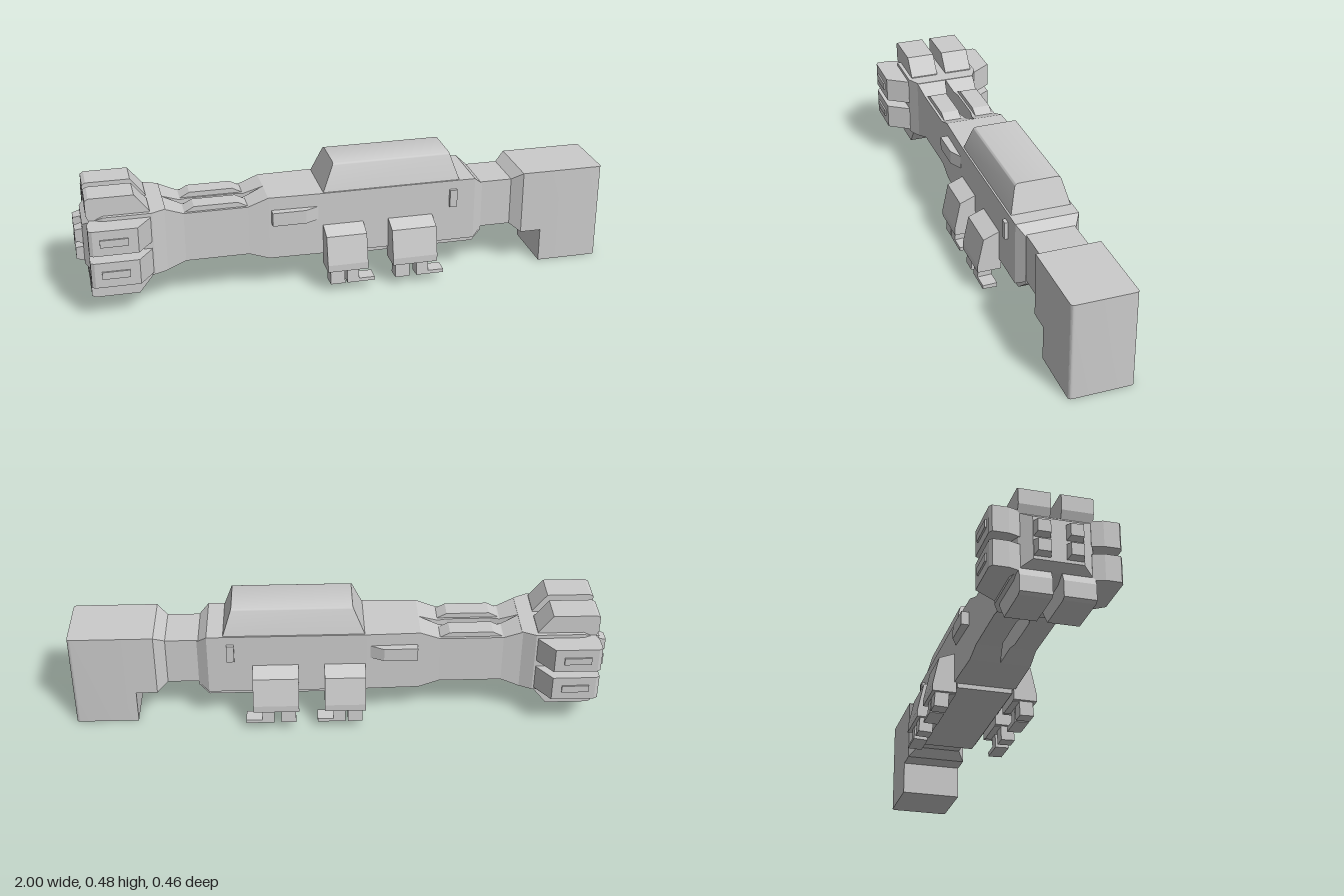
import * as THREE from 'three';
import { toCreasedNormals } from 'three/addons/utils/BufferGeometryUtils.js';

const material = new THREE.MeshStandardMaterial({ color: 0xcccccc });

// Box-like hull along x; each section is [x, y0, y1, z0, z1], x ascending
function loft(sections) {
  const pos = [], idx = [];
  for (const [x, y0, y1, za, zb] of sections) {
    const z0 = Math.min(za, zb), z1 = Math.max(za, zb);
    pos.push(x, y0, z0, x, y1, z0, x, y1, z1, x, y0, z1);
  }
  const n = (sections.length - 1) * 4;
  for (let i = 0; i < n; i += 4) {
    for (let k = 0; k < 4; k++) {
      const a = i + k, c = i + (k + 1) % 4;
      idx.push(a, c, a + 4, c, c + 4, a + 4);
    }
  }
  idx.push(0, 2, 1, 0, 3, 2, n, n + 1, n + 2, n, n + 2, n + 3);
  const g = new THREE.BufferGeometry();
  g.setAttribute('position', new THREE.Float32BufferAttribute(pos, 3));
  g.setIndex(idx);
  const flat = g.toNonIndexed();
  flat.computeVertexNormals();
  return flat;
}

// Extrudes a (z, y) outline between x0 and x1
function extrudeX(shape, x0, x1) {
  const g = new THREE.ExtrudeGeometry(shape, { depth: x1 - x0, bevelEnabled: false, curveSegments: 6 });
  return g.rotateY(-Math.PI / 2).translate(x1, 0, 0);
}

const polygon = pts => new THREE.Shape(pts.map(p => new THREE.Vector2(...p)));

export function createModel() {
  const ship = new THREE.Group();
  ship.name = 'spaceship';
  const add = (name, geometry) => {
    const mesh = new THREE.Mesh(geometry, material);
    mesh.name = name;
    ship.add(mesh);
  };
  const box = (name, x0, x1, y0, y1, z0, z1) =>
    add(name, loft([[x0, y0, y1, z0, z1], [x1, y0, y1, z0, z1]]));

  // Bow block with rounded leading edges, and its shallow rear part
  const r = 0.014, w = 0.118;
  const bow = new THREE.Shape();
  bow.moveTo(0.765, -w);
  bow.lineTo(1 - r, -w);
  bow.quadraticCurveTo(1, -w, 1, r - w);
  bow.lineTo(1, w - r);
  bow.quadraticCurveTo(1, w, 1 - r, w);
  bow.lineTo(0.765, w);
  const bowGeometry = new THREE.ExtrudeGeometry(bow, { depth: 0.374, bevelEnabled: false, curveSegments: 5 });
  add('bowBlock', toCreasedNormals(bowGeometry.rotateX(-Math.PI / 2), 0.6));
  box('bowRear', 0.685, 0.765, 0.13, 0.374, -w, w);

  // Neck, flaring into the bow
  add('neck', loft([
    [0.52, 0.16, 0.345, -0.09, 0.09], [0.645, 0.16, 0.345, -0.09, 0.09], [0.685, 0.13, 0.374, -w, w],
  ]));

  // Main hull, chamfered at the neck, with a keel plate
  add('mainHull', loft([
    [-0.3, 0.13, 0.374, -0.113, 0.113], [-0.1, 0.13, 0.374, -w, w],
    [0.49, 0.13, 0.374, -w, w], [0.528, 0.155, 0.34, -0.092, 0.092],
  ]));
  add('keel', loft([
    [-0.09, 0.112, 0.14, -0.105, 0.105], [0.49, 0.112, 0.14, -0.105, 0.105], [0.528, 0.145, 0.16, -0.09, 0.09],
  ]));

  // Cabin: rounded outline with both ends leaning inwards
  const cabin = new THREE.Shape();
  cabin.moveTo(-0.112, 0.372);
  cabin.lineTo(0.112, 0.372);
  cabin.lineTo(0.088, 0.464);
  cabin.quadraticCurveTo(0.085, 0.477, 0.07, 0.477);
  cabin.lineTo(-0.07, 0.477);
  cabin.quadraticCurveTo(-0.085, 0.477, -0.088, 0.464);
  const cabinGeometry = extrudeX(cabin, 0, 1);
  const p = cabinGeometry.attributes.position;
  for (let i = 0; i < p.count; i++) {
    const t = (p.getY(i) - 0.372) / 0.105;
    p.setX(i, p.getX(i) < 0.5 ? -0.095 + 0.045 * t : 0.43 - 0.035 * t);
  }
  cabinGeometry.computeVertexNormals();
  add('cabin', toCreasedNormals(cabinGeometry, 0.6));

  // Engine core, tapering to the stern
  add('engineCore', loft([
    [-0.972, 0.175, 0.33, -0.085, 0.085], [-0.94, 0.15, 0.355, -0.125, 0.125],
    [-0.9, 0.13, 0.374, -0.143, 0.143], [-0.725, 0.13, 0.374, -0.143, 0.143],
    [-0.675, 0.13, 0.374, -0.118, 0.118],
  ]));

  for (const s of [1, -1]) {
    // Half of the waist; the two halves leave a lens-shaped slot between them
    add('waist', loft([
      [-0.68, 0.13, 0.374, 0, s * 0.12], [-0.61, 0.155, 0.345, s * 0.015, s * 0.11],
      [-0.575, 0.155, 0.345, s * 0.022, s * 0.11], [-0.41, 0.155, 0.345, s * 0.022, s * 0.11],
      [-0.375, 0.155, 0.345, s * 0.014, s * 0.11], [-0.3, 0.13, 0.374, 0, s * 0.113],
    ]));
    add('waistFairing', loft([
      [-0.61, 0.335, 0.343, s * 0.03, s * 0.1], [-0.57, 0.335, 0.364, s * 0.03, s * 0.1],
      [-0.41, 0.335, 0.364, s * 0.03, s * 0.1], [-0.37, 0.335, 0.343, s * 0.03, s * 0.1],
    ]));

    // Fittings on the hull sides
    add('sideFairing', loft([
      [-0.29, 0.272, 0.324, s * 0.1, s * 0.143], [-0.165, 0.272, 0.324, s * 0.1, s * 0.143],
      [-0.115, 0.272, 0.324, s * 0.1, s * 0.118],
    ]));
    box('sideHatch', 0.39, 0.418, 0.272, 0.34, s * 0.1, s * 0.131);

    // Side pods with legs; the forward leg carries a long foot
    for (const [x0, x1] of [[-0.097, 0.056], [0.153, 0.324]]) {
      const podOutline = polygon([
        [s * 0.11, 0.25], [s * 0.12, 0.245], [s * 0.177, 0.222], [s * 0.2, 0.115], [s * 0.2, 0.088], [s * 0.11, 0.088],
      ]);
      add('sidePod', extrudeX(podOutline, x0, x1));
      const leg = polygon([[s * 0.135, 0.092], [s * 0.187, 0.092], [s * 0.191, 0.033], [s * 0.137, 0.031]]);
      const foot = polygon([[s * 0.136, 0.048], [s * 0.19, 0.046], [s * 0.191, 0.033], [s * 0.137, 0.031]]);
      const a = x0 + 0.012, b = x1 - 0.077;
      add('rearLeg', extrudeX(leg, a, a + 0.055));
      add('frontLeg', extrudeX(leg, b, b + 0.045));
      add('foot', extrudeX(foot, b, b + 0.105));
      box('legBrace', a, x1 - 0.02, 0.085, 0.105, s * 0.11, s * 0.16);
    }

    for (const v of [1, -1]) {
      const cy = 0.25;
      // Outer engines on the flanks
      const y0 = cy + v * 0.062 - 0.048, y1 = y0 + 0.096;
      add('flankEngine', loft([
        [-0.958, y0, y1, s * 0.16, s * 0.215], [-0.945, y0, y1, s * 0.12, s * 0.223],
        [-0.785, y0, y1, s * 0.12, s * 0.223], [-0.732, y0, y1, s * 0.12, s * 0.147],
      ]));
      const yc = cy + v * 0.062;
      box('flankVent', -0.92, -0.82, yc - 0.014, yc + 0.014, s * 0.2, s * 0.229);

      // Engines above and below
      const span = (inner, outer) => [cy + v * inner, cy + v * outer].sort((m, n) => m - n);
      add('deckEngine', loft([
        [-0.958, ...span(0.13, 0.187), s * 0.018, s * 0.128], [-0.945, ...span(0.1, 0.195), s * 0.018, s * 0.128],
        [-0.785, ...span(0.1, 0.195), s * 0.018, s * 0.128], [-0.732, ...span(0.1, 0.128), s * 0.018, s * 0.128],
      ]));

      // Stern nozzles
      const ny = cy + v * 0.035, nz = s * 0.055;
      add('nozzle', loft([
        [-1, ny - 0.022, ny + 0.022, nz - 0.022, nz + 0.022],
        [-0.965, ny - 0.03, ny + 0.03, nz - 0.03, nz + 0.03],
      ]));
    }
  }
  return ship;
}
